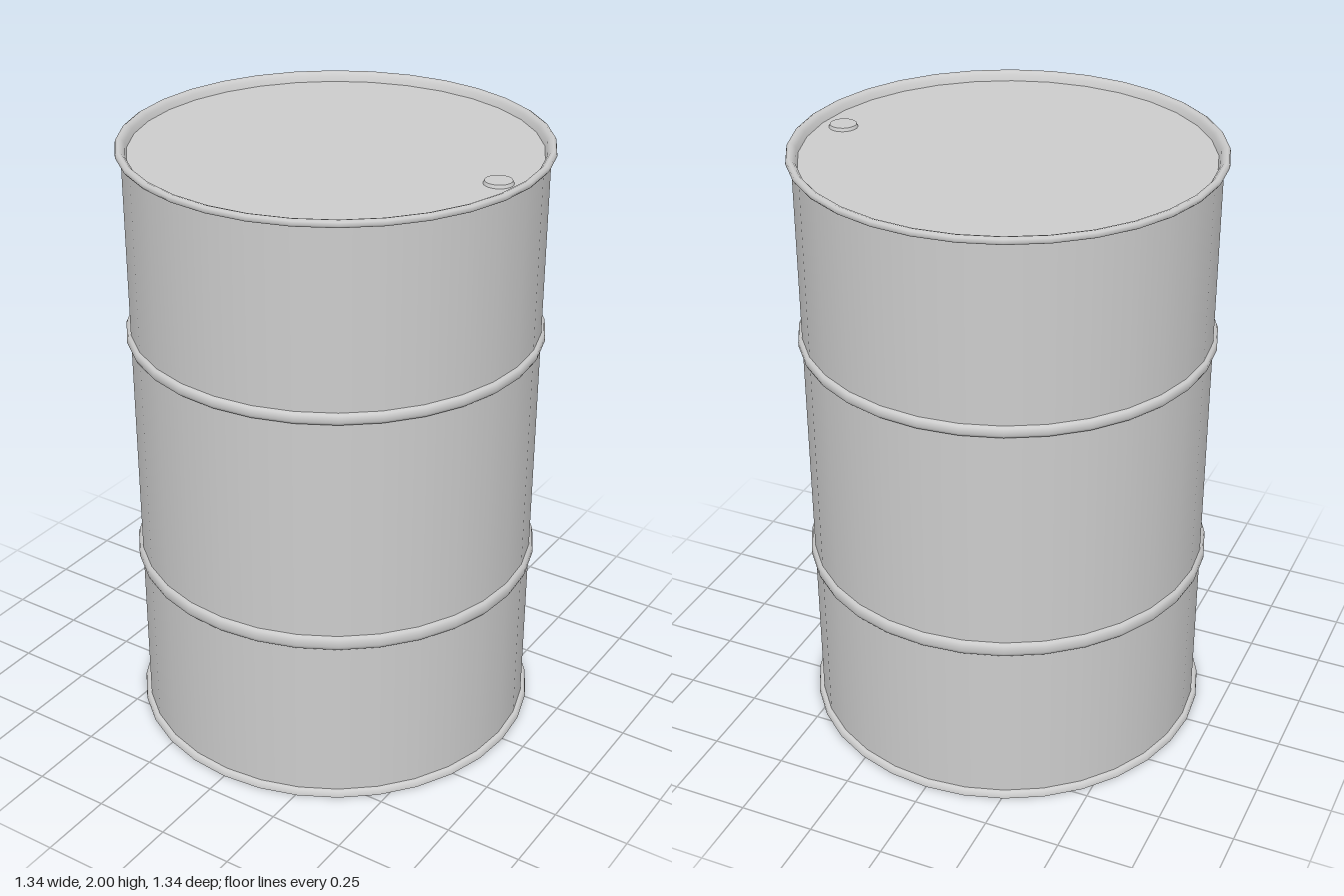
import * as THREE from 'three';

const SIDES = 32;
const BODY_R = 0.655;
const LID_R = 0.637;
const LID_Y = 1.97;

export function createModel() {
  const drum = new THREE.Group();
  drum.name = 'drum';
  const steel = new THREE.MeshStandardMaterial({ color: 0xcccccc });

  function add(name, geometry, x = 0, y = 0) {
    const mesh = new THREE.Mesh(geometry, steel);
    mesh.name = name;
    mesh.position.set(x, y, 0);
    drum.add(mesh);
    return mesh;
  }

  // Turns a [radius, height] profile, listed upward on the outside
  const turn = (points, sides = SIDES) =>
    new THREE.LatheGeometry(points.map(([r, y]) => new THREE.Vector2(r, y)), sides);

  // Plain walls between the hoops
  const walls = { lowerWall: [0.015, 0.57], middleWall: [0.62, 1.36], upperWall: [1.4, 1.98] };
  for (const [name, [y0, y1]] of Object.entries(walls)) {
    add(name, turn([[BODY_R, y0], [BODY_R, y1]]));
  }

  // Rolled hoops with a rounded bulge
  const hoops = { lowerHoop: [0.57, 0.62], upperHoop: [1.36, 1.4] };
  for (const [name, [y0, y1]] of Object.entries(hoops)) {
    const h = y1 - y0;
    add(name, turn([
      [BODY_R, y0], [0.664, y0 + h * 0.12], [0.668, y0 + h * 0.35],
      [0.668, y0 + h * 0.65], [0.664, y0 + h * 0.88], [BODY_R, y1],
    ]));
  }

  // Flared foot and flat base
  add('bottomRim', turn([[0.672, 0], [0.671, 0.012], [0.664, 0.019], [BODY_R, 0.021]]));
  add('base', new THREE.CircleGeometry(0.672, SIDES)).rotation.x = Math.PI / 2;

  // Rolled top rim, curling over to the sunken lid
  add('topRim', turn([
    [BODY_R, 1.975], [0.667, 1.978], [0.672, 1.985], [0.67, 1.995],
    [0.662, 2], [0.652, 1.997], [0.643, 1.987], [LID_R, LID_Y],
  ]));
  add('lid', new THREE.CircleGeometry(LID_R, SIDES), 0, LID_Y).rotation.x = -Math.PI / 2;

  // Low filler cap near the edge of the lid
  add('fillerCap', new THREE.CylinderGeometry(0.042, 0.046, 0.01, 24), 0.563, LID_Y + 0.005);

  return drum;
}
